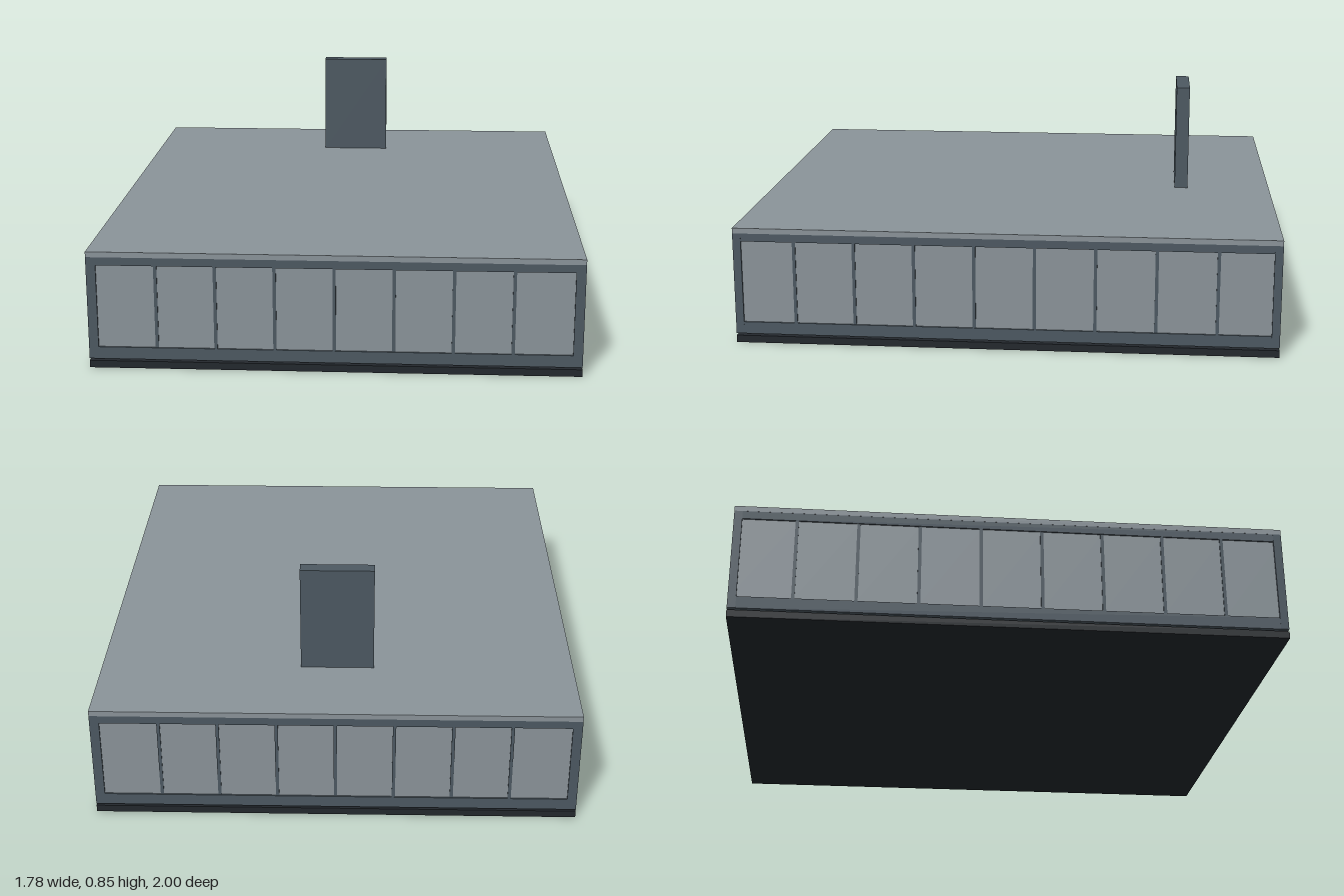
import * as THREE from 'three';

const HX = 0.89, HZ = 1;          // half width and half depth
const GLASS_Y0 = 0.08, GLASS_Y1 = 0.39;

const mat = (color) => new THREE.MeshStandardMaterial({ color });

function box(parent, name, material, size, pos) {
  const mesh = new THREE.Mesh(new THREE.BoxGeometry(...size), material);
  mesh.position.set(...pos);
  mesh.name = name;
  parent.add(mesh);
  return mesh;
}

// Glazed wall in its own frame: runs along x, outer face at z = 0
function makeWall(name, length, bays, post, frame, glass) {
  const wall = new THREE.Group();
  wall.name = name;
  const t = 0.03, h = GLASS_Y1 - GLASS_Y0, midY = (GLASS_Y0 + GLASS_Y1) / 2;
  box(wall, 'bottomRail', frame, [length, 0.045, t], [0, 0.0575, -t / 2]);
  box(wall, 'topRail', frame, [length, 0.03, t], [0, 0.405, -t / 2]);

  const inner = length - 2 * post, pitch = inner / bays;
  for (const s of [-1, 1]) {
    box(wall, 'endPost', frame, [post, h, t], [s * (length - post) / 2, midY, -t / 2]);
  }
  for (let i = 0; i < bays; i++) {
    const x = -inner / 2 + (i + 0.5) * pitch;
    box(wall, 'windowPane', glass, [pitch, h, 0.01], [x, midY, -0.011]);
    if (i > 0) box(wall, 'mullion', frame, [0.012, h, t - 0.004], [x - pitch / 2, midY, -t / 2]);
  }
  return wall;
}

export function createModel() {
  const model = new THREE.Group();
  model.name = 'pavilion';
  const light = mat(0x8b949a), frame = mat(0x4d5962), dark = mat(0x23282d);

  // Plinth, with a shadow gap under the walls
  box(model, 'plinth', dark, [2 * HX, 0.027, 2 * HZ], [0, 0.0135, 0]);
  box(model, 'floorSlab', dark, [2 * HX - 0.066, 0.02, 2 * HZ - 0.066], [0, 0.035, 0]);

  // Four glazed walls: eight bays front and back, nine on each side
  for (const s of [1, -1]) {
    const end = makeWall(s > 0 ? 'frontWall' : 'backWall', 2 * HX, 8, 0.035, frame, light);
    end.position.z = s * HZ;
    end.rotation.y = s > 0 ? 0 : Math.PI;
    const side = makeWall(s > 0 ? 'leftWall' : 'rightWall', 2 * HZ - 0.002, 9, 0.004, frame, light);
    side.position.x = s * (HX - 0.0005);
    side.rotation.y = s * Math.PI / 2;
    model.add(end, side);
  }

  // Flat roof and chimney slab
  box(model, 'roof', light, [2 * HX, 0.02, 2 * HZ], [0, 0.43, 0]);
  box(model, 'chimney', frame, [0.275, 0.41, 0.052], [0, 0.645, -0.647]);

  return model;
}
